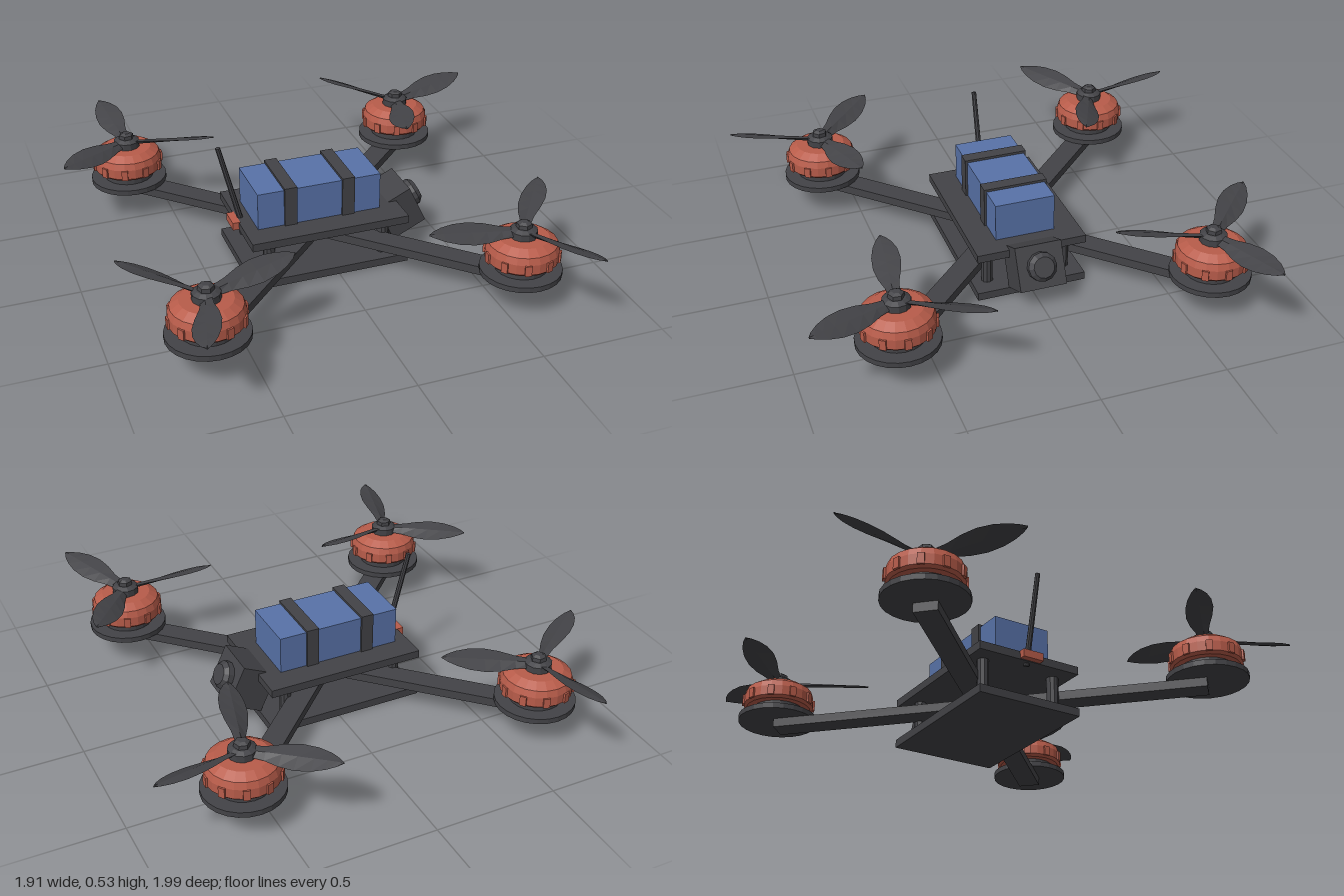
import * as THREE from 'three';

const mat = (name, color) => {
  const m = new THREE.MeshStandardMaterial({ color, flatShading: true });
  m.name = name;
  return m;
};

export function createModel() {
  const carbon = mat('carbon grey', 0x434347);
  const orange = mat('motor orange', 0xb85c4a);
  const blue = mat('battery blue', 0x5872a8);

  const CX = -0.0325; // frame centre along x
  const model = new THREE.Group();
  model.name = 'quadcopter';

  const add = (parent, name, geo, material, x = 0, y = 0, z = 0) => {
    const m = new THREE.Mesh(geo, material);
    m.name = name;
    m.position.set(x, y, z);
    parent.add(m);
    return m;
  };
  // Box given by its lower and upper corners
  const box = (name, material, a, b) => add(model, name,
    new THREE.BoxGeometry(b[0] - a[0], b[1] - a[1], b[2] - a[2]), material,
    (a[0] + b[0]) / 2, (a[1] + b[1]) / 2, (a[2] + b[2]) / 2);
  const lathe = (pts, sides) =>
    new THREE.LatheGeometry(pts.map(p => new THREE.Vector2(...p)), sides);

  // Frame plates and standoffs
  box('bottomPlate', carbon, [-0.36, 0, -0.225], [0.295, 0.033, 0.225]);
  box('topPlate', carbon, [-0.36, 0.177, -0.225], [0.295, 0.21, 0.225]);
  for (const x of [-0.275, 0.21]) for (const z of [-0.16, 0.16])
    add(model, 'standoff', new THREE.CylinderGeometry(0.024, 0.024, 0.15, 10), carbon, x, 0.105, z);

  // Battery and its straps
  box('battery', blue, [-0.305, 0.21, -0.122], [0.21, 0.365, 0.122]);
  for (const x of [-0.17, 0.072])
    box('batteryStrap', carbon, [x - 0.026, 0.205, -0.131], [x + 0.026, 0.375, 0.131]);

  // Tilted camera with a stepped lens, aimed along +x
  const camera = new THREE.Group();
  camera.name = 'camera';
  camera.position.set(0.321, 0.143, 0);
  camera.rotation.z = 0.44;
  model.add(camera);
  add(camera, 'cameraBody', new THREE.BoxGeometry(0.155, 0.175, 0.19), carbon);
  const lens = lathe([[0, 0], [0.058, 0], [0.058, 0.025], [0.042, 0.042], [0, 0.042]], 12);
  add(camera, 'cameraLens', lens, carbon, 0.075, 0, 0).rotation.z = -Math.PI / 2;

  // Antenna leaning back, with its orange connector
  box('antennaMount', orange, [-0.386, 0.18, -0.045], [-0.355, 0.212, 0.045]);
  add(model, 'antenna', new THREE.CylinderGeometry(0.01, 0.012, 0.375, 8), carbon,
    -0.378, 0.35, 0).rotation.z = 0.245;

  // Propeller blade: diamond sections lofted along x, pitched and rising to the tip
  const bladeGeometry = (dir) => {
    const sections = [[0.03, 0.022], [0.09, 0.03], [0.15, 0.047], [0.21, 0.056],
      [0.27, 0.052], [0.32, 0.038], [0.355, 0.02], [0.376, 0.003]];
    const pos = [], idx = [];
    sections.forEach(([x, half], i) => {
      const t = i / (sections.length - 1);
      const pitch = dir * (0.5 - 0.32 * t);
      const thick = 0.009 - 0.006 * t;
      const rise = 0.3 + 0.1 * x;
      for (const [y, z] of [[thick, 0], [0, half], [-thick, 0], [0, -half]])
        pos.push(x, rise + y * Math.cos(pitch) - z * Math.sin(pitch),
          y * Math.sin(pitch) + z * Math.cos(pitch));
    });
    for (let i = 0; i < sections.length - 1; i++) for (let j = 0; j < 4; j++) {
      const a = i * 4 + j, b = i * 4 + (j + 1) % 4;
      idx.push(a, b, a + 4, b, b + 4, a + 4);
    }
    const n = pos.length / 3;
    idx.push(0, 2, 1, 0, 3, 2, n - 4, n - 3, n - 2, n - 4, n - 2, n - 1);
    const g = new THREE.BufferGeometry();
    g.setAttribute('position', new THREE.Float32BufferAttribute(pos, 3));
    g.setIndex(idx);
    g.computeVertexNormals();
    return g;
  };

  // Shared motor shapes
  const baseGeo = new THREE.CylinderGeometry(0.16, 0.16, 0.022, 24);
  const statorGeo = new THREE.CylinderGeometry(0.104, 0.104, 0.045, 20);
  const bellGeo = lathe([[0, 0.184], [0.132, 0.184], [0.143, 0.195], [0.143, 0.235],
    [0.134, 0.262], [0.1, 0.284], [0, 0.286]], 20);
  const ribGeo = new THREE.BoxGeometry(0.012, 0.042, 0.026);
  const hubGeo = lathe([[0, 0.28], [0.054, 0.28], [0.054, 0.312], [0.036, 0.322], [0, 0.322]], 12);
  const nutGeo = lathe([[0, 0.32], [0.032, 0.32], [0.03, 0.338], [0.016, 0.346], [0, 0.346]], 6);

  // Four arms with motors; diagonal pairs spin the same way
  const corners = [[-1, -1, 96], [1, -1, 15], [-1, 1, 15], [1, 1, 54]];
  for (const [sx, sz, angle] of corners) {
    const x = CX + sx * 0.6225, z = sz * 0.625;
    const length = 0.882;
    const arm = add(model, 'arm', new THREE.BoxGeometry(length, 0.036, 0.09), carbon,
      CX + sx * 0.311, 0.109, sz * 0.3125);
    arm.rotation.y = -Math.atan2(sz, sx);

    const motor = new THREE.Group();
    motor.name = 'motor';
    motor.position.set(x, 0, z);
    model.add(motor);
    add(motor, 'motorBase', baseGeo, carbon, 0, 0.138, 0);
    add(motor, 'stator', statorGeo, carbon, 0, 0.168, 0);
    add(motor, 'motorBell', bellGeo, orange);
    for (let i = 0; i < 10; i++) {
      const a = i * Math.PI / 5;
      add(motor, 'bellRib', ribGeo, orange, 0.143 * Math.cos(a), 0.214, -0.143 * Math.sin(a))
        .rotation.y = a;
    }

    const propeller = new THREE.Group();
    propeller.name = 'propeller';
    propeller.rotation.y = angle * Math.PI / 180;
    motor.add(propeller);
    add(propeller, 'propellerHub', hubGeo, carbon);
    add(propeller, 'propellerNut', nutGeo, carbon);
    const blade = bladeGeometry(-sx * sz);
    for (let i = 0; i < 3; i++)
      add(propeller, 'blade', blade, carbon).rotation.y = i * Math.PI * 2 / 3;
  }
  return model;
}
